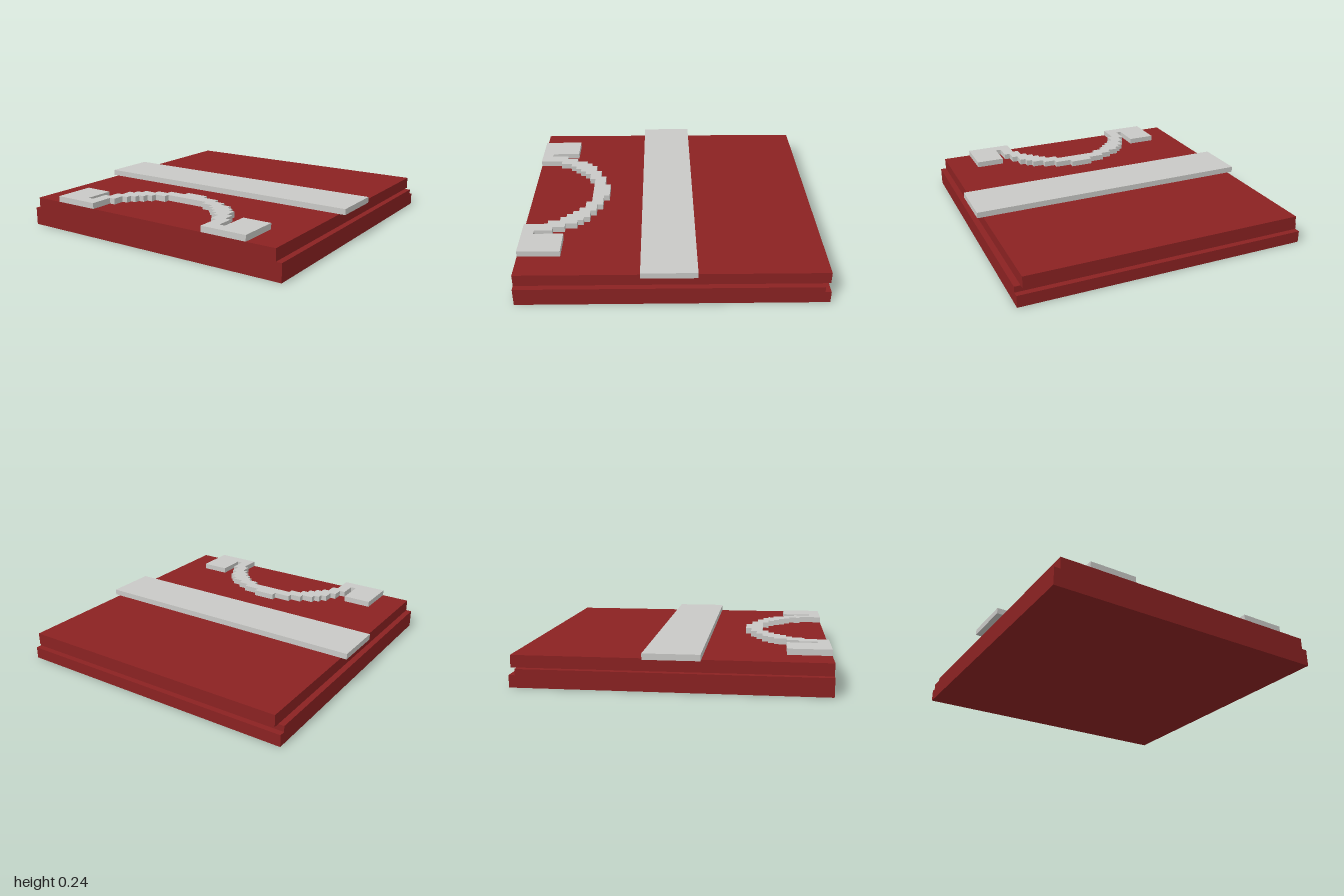
import * as THREE from 'three';

const red = new THREE.MeshStandardMaterial({ color: 0x8b2222 });
red.name = 'darkRed';
const grey = new THREE.MeshStandardMaterial({ color: 0xc9c9c6 });
grey.name = 'lightGrey';

// Box given by its lower and upper corners
function box(name, [x0, y0, z0], [x1, y1, z1], material) {
  const geometry = new THREE.BoxGeometry(x1 - x0, y1 - y0, z1 - z0);
  const mesh = new THREE.Mesh(geometry, material);
  mesh.position.set((x0 + x1) / 2, (y0 + y1) / 2, (z0 + z1) / 2);
  mesh.name = name;
  return mesh;
}

// Stair-step [x, z] corners from a starting z and [x, next z] steps
function stairs(z, steps) {
  const points = [];
  for (const [x, nextZ] of steps) {
    points.push([x, z], [x, nextZ]);
    z = nextZ;
  }
  return points;
}

// Flat stepped arch with a rectangular pad at each end
function createArch() {
  const outer = stairs(0.44, [
    [0.08, 0.48], [0.20, 0.52], [0.28, 0.56], [0.36, 0.60], [0.40, 0.64],
    [0.44, 0.72], [0.48, 0.80], [0.52, 0.92], [0.56, 0.72], [0.76, 1],
  ]);
  const inner = stairs(0.56, [
    [0.16, 0.60], [0.24, 0.64], [0.28, 0.68], [0.32, 0.72],
    [0.36, 0.76], [0.40, 0.84], [0.44, 1],
  ]);
  const half = [...outer, ...inner.reverse()];
  const mirrored = half.map(([x, z]) => [-x, z]).reverse();
  const shape = new THREE.Shape(
    [...half, ...mirrored].map(([x, z]) => new THREE.Vector2(x, -z)));
  const geometry = new THREE.ExtrudeGeometry(shape, { depth: 0.04, bevelEnabled: false });
  geometry.rotateX(-Math.PI / 2);
  const arch = new THREE.Mesh(geometry, grey);
  arch.position.y = 0.2;
  arch.name = 'steppedArch';
  return arch;
}

export function createModel() {
  const model = new THREE.Group();
  model.name = 'panel';
  model.add(
    // Base slab, with a groove along the back and rebates along both sides
    box('baseSlab', [-1, 0, -1], [1, 0.08, 1], red),
    box('grooveLayer', [-1, 0.08, -0.96], [1, 0.12, 1], red),
    box('topSlab', [-0.96, 0.12, -1], [0.96, 0.2, 1], red),
    // Raised band across the full width
    box('crossBand', [-1, 0.2, -0.16], [1, 0.24, 0.2], grey),
    createArch(),
  );
  return model;
}
